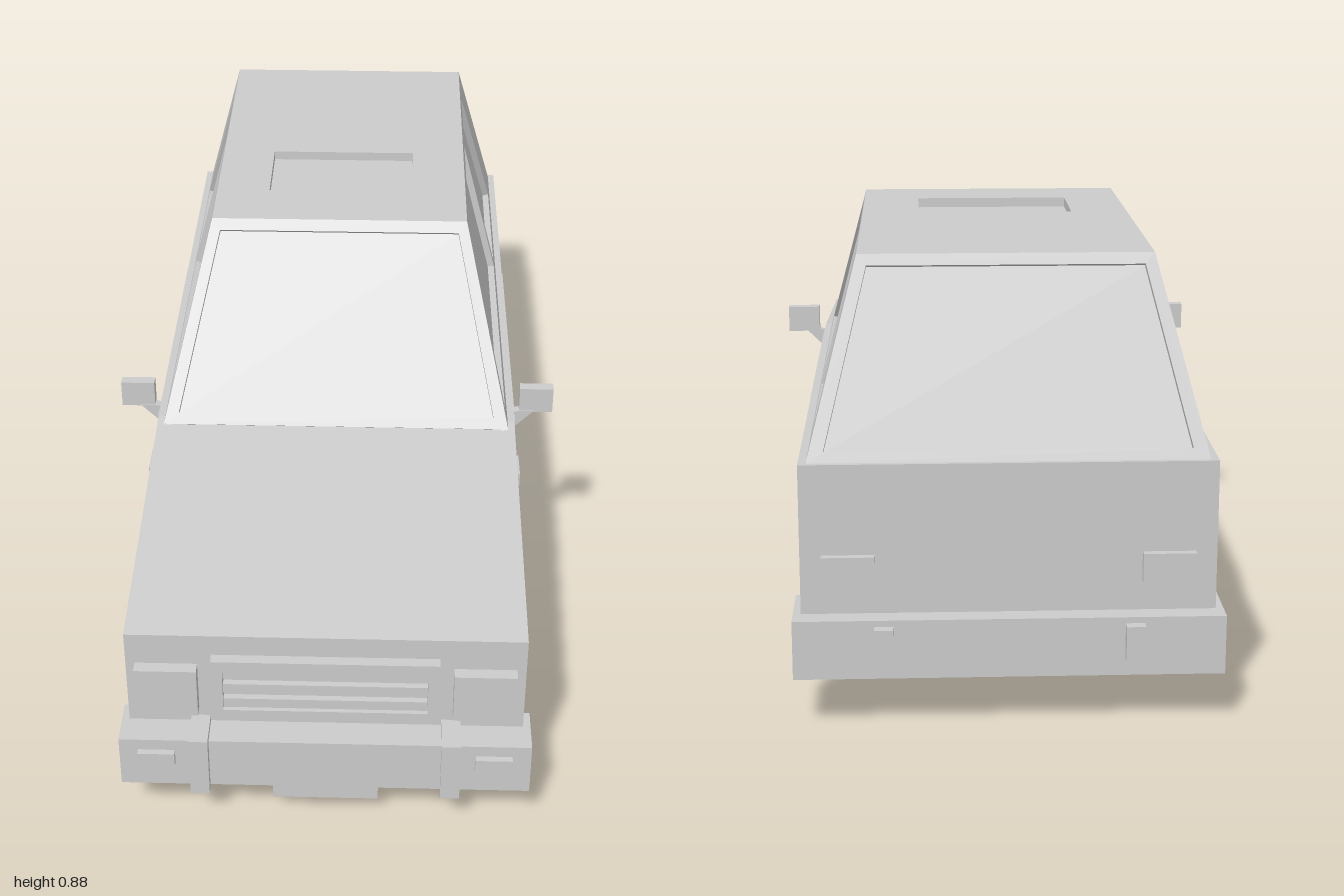
import * as THREE from 'three';

const mat = new THREE.MeshStandardMaterial({ color: 0xcccccc, flatShading: true });
const V = (x, y, z) => new THREE.Vector3(x, y, z);

export function createModel() {
  const car = new THREE.Group();
  car.name = 'car';

  const add = (name, geo, parent = car) => {
    const m = new THREE.Mesh(geo, mat);
    m.name = name;
    parent.add(m);
    return m;
  };
  // box given by its limits on each axis
  const box = (name, x0, x1, y0, y1, z0, z1) => {
    const m = add(name, new THREE.BoxGeometry(Math.abs(x1 - x0), y1 - y0, z1 - z0));
    m.position.set((x0 + x1) / 2, (y0 + y1) / 2, (z0 + z1) / 2);
    return m;
  };
  // profile of [z, y] points extruded across x
  const across = (name, pts, x0, x1) => {
    const shape = new THREE.Shape(pts.map(p => new THREE.Vector2(p[0], p[1])));
    const geo = new THREE.ExtrudeGeometry(shape, { depth: x1 - x0, bevelEnabled: false });
    geo.rotateY(-Math.PI / 2).translate(x1, 0, 0);
    return add(name, geo);
  };

  // Lower body with open wheel arches
  const axles = [0.56, -0.585];
  const profile = [[0.92, 0.14], [0.92, 0.436], [0.3, 0.505], [0.27, 0.51], [-0.94, 0.51], [-0.94, 0.14]];
  for (const z of [...axles].reverse()) {
    for (let i = 0; i <= 6; i++) {
      const a = Math.PI * (1 - i / 6);
      profile.push([z + 0.163 * Math.cos(a), (i % 6 ? 0.155 : 0.14) + 0.175 * Math.sin(a)]);
    }
  }
  across('body', profile, -0.39, 0.39);

  // Flat framed panel with recessed panes; corners run anticlockwise seen from outside
  const panel = (name, corners, openings, depth) => {
    const g = new THREE.Group();
    g.name = name;
    const X = corners[1].clone().sub(corners[0]).normalize();
    const N = X.clone().cross(corners[3].clone().sub(corners[0])).normalize();
    const basis = new THREE.Matrix4().makeBasis(X, N.clone().cross(X), N).setPosition(corners[0]);
    const inverse = basis.clone().invert();
    const flat = pts => pts.map(p => {
      const q = p.clone().applyMatrix4(inverse);
      return new THREE.Vector2(q.x, q.y);
    });
    const shape = new THREE.Shape(flat(corners));
    for (const o of openings) {
      shape.holes.push(new THREE.Path(flat(o)));
      add(name + 'Pane', new THREE.ShapeGeometry(new THREE.Shape(flat(o))).translate(0, 0, -depth), g);
    }
    const frame = new THREE.ExtrudeGeometry(shape, { depth, bevelEnabled: false });
    add(name + 'Frame', frame.translate(0, 0, -depth), g);
    g.applyMatrix4(basis);
    car.add(g);
  };

  // Cabin: tapers from the shoulder line to the roof
  const Y0 = 0.51, Y1 = 0.875;
  const t = y => (y - Y0) / (Y1 - Y0);
  const onFront = ([x, y]) => V(x, y, 0.3 - 0.27 * t(y));
  const onBack = ([x, y]) => V(-x, y, -0.93 + 0.14 * t(y));
  const endFace = [[-0.375, Y0], [0.375, Y0], [0.28, Y1], [-0.28, Y1]];
  const endWindow = [[-0.343, 0.53], [0.343, 0.53], [0.262, 0.854], [-0.262, 0.854]];
  panel('windshield', endFace.map(onFront), [endWindow.map(onFront)], 0.015);
  panel('rearWindow', endFace.map(onBack), [endWindow.map(onBack)], 0.015);

  const sideFace = [[0.3, Y0], [-0.93, Y0], [-0.79, Y1], [0.03, Y1]];
  const sideWindows = [
    [[0.247, 0.533], [-0.393, 0.533], [-0.393, 0.855], [0.012, 0.855]],
    [[-0.422, 0.533], [-0.78, 0.533], [-0.665, 0.855], [-0.422, 0.855]],
  ];
  for (const s of [1, -1]) {
    const onSide = ([z, y]) => V(s * (0.375 - 0.095 * t(y)), y, z);
    const place = pts => {
      const r = pts.map(onSide);
      return s > 0 ? r : r.reverse();
    };
    panel(s > 0 ? 'leftWindows' : 'rightWindows', place(sideFace), sideWindows.map(place), 0.015);
  }

  // Roof with sunroof
  const rect = (x, z0, z1) => [V(-x, Y1, z0), V(x, Y1, z0), V(x, Y1, z1), V(-x, Y1, z1)];
  panel('roof', rect(0.28, 0.03, -0.79), [rect(0.162, -0.11, -0.31)], 0.02);

  // Grille: frame with slats
  const grille = new THREE.Shape([[-0.222, 0.245], [0.222, 0.245], [0.222, 0.39], [-0.222, 0.39]].map(p => new THREE.Vector2(...p)));
  grille.holes.push(new THREE.Path([[-0.2, 0.268], [0.2, 0.268], [0.2, 0.365], [-0.2, 0.365]].map(p => new THREE.Vector2(...p))));
  add('grilleFrame', new THREE.ExtrudeGeometry(grille, { depth: 0.024, bevelEnabled: false })).position.z = 0.918;
  for (const y of [0.279, 0.316, 0.352]) box('grilleSlat', -0.2, 0.2, y - 0.011, y + 0.011, 0.915, 0.933);

  // Bumpers and number plate
  box('frontBumper', -0.405, 0.405, 0.105, 0.22, 0.88, 0.98);
  box('rearBumper', -0.405, 0.405, 0.105, 0.22, -0.98, -0.84);
  box('frontPlate', -0.105, 0.105, 0.053, 0.11, 0.95, 0.958);

  // Wheel turned about its axle, with a raised rim and shallow hub
  const wheelGeo = new THREE.LatheGeometry(
    [[0, 0], [0.162, 0], [0.162, 0.098], [0.122, 0.098], [0.116, 0.106], [0.104, 0.098], [0.05, 0.104], [0, 0.106]]
      .map(p => new THREE.Vector2(...p)), 10);

  for (const s of [1, -1]) {
    box('headlight', s * 0.25, s * 0.372, 0.255, 0.366, 0.91, 0.945);
    box('frontIndicator', s * 0.295, s * 0.368, 0.164, 0.195, 0.97, 0.993);
    box('frontOverrider', s * 0.228, s * 0.266, 0.098, 0.234, 0.9, 0.998);
    box('rearOverrider', s * 0.216, s * 0.252, 0.14, 0.208, -1, -0.97);
    box('tailLight', s * 0.25, s * 0.35, 0.28, 0.335, -0.955, -0.93);
    box('sideIndicator', s * 0.38, s * 0.397, 0.44, 0.47, 0.34, 0.41);

    // Door, slightly proud of the body side
    const x = s * 0.39;
    across('door', [[0.25, 0.5], [0.25, 0.21], [-0.29, 0.21], [-0.41, 0.4], [-0.41, 0.5]], x - 0.003, x + 0.003);

    // Mirror head on a slanted arm
    box('mirror', s * 0.402, s * 0.475, 0.507, 0.566, 0.2, 0.224);
    const arm = new THREE.Shape([[0.38, 0.505], [0.38, 0.468], [0.392, 0.468], [0.434, 0.51], [0.402, 0.51]]
      .map(p => new THREE.Vector2(s * p[0], p[1])));
    add('mirrorArm', new THREE.ExtrudeGeometry(arm, { depth: 0.02, bevelEnabled: false })).position.z = 0.206;

    for (const z of axles) {
      const wheel = add('wheel', wheelGeo);
      wheel.rotation.z = -s * Math.PI / 2;
      wheel.position.set(s * 0.272, 0.154, z);
    }
  }
  return car;
}
